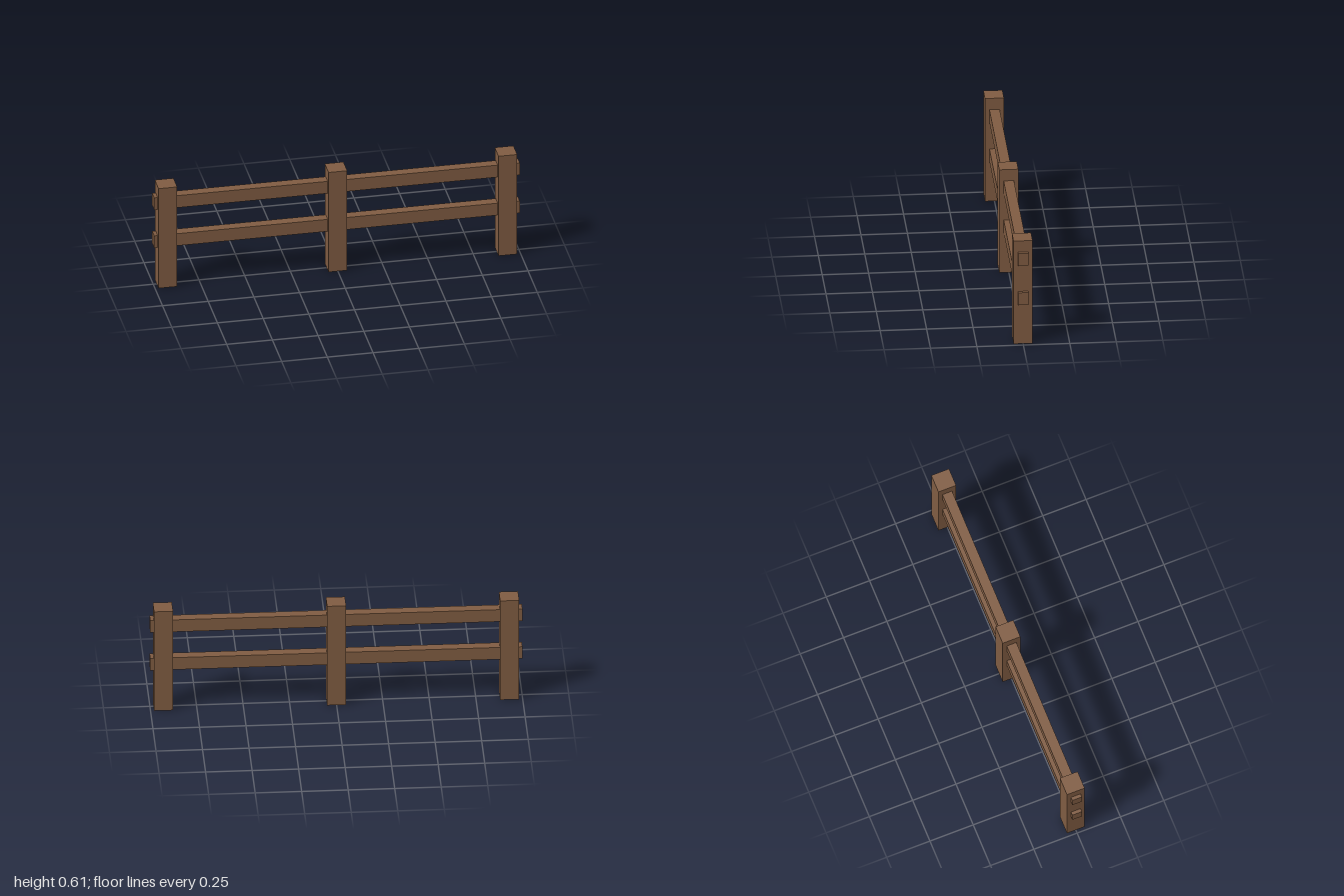
import * as THREE from 'three';

export function createModel() {
  const fence = new THREE.Group();
  fence.name = 'fence';
  const wood = new THREE.MeshStandardMaterial({ color: 0x805c42 });
  wood.name = 'brown wood';

  function beam(name, width, height, depth, x, y) {
    const mesh = new THREE.Mesh(new THREE.BoxGeometry(width, height, depth), wood);
    mesh.name = name;
    mesh.position.set(x, y, 0);
    fence.add(mesh);
  }

  // Three upright square posts
  const postHeight = 0.605;
  const posts = { rightPost: -0.93, middlePost: 0, leftPost: 0.93 };
  for (const [name, x] of Object.entries(posts)) {
    beam(name, 0.102, postHeight, 0.102, x, postHeight / 2);
  }

  // Two rails running through the posts, with short ends showing
  const rails = { lowerRail: 0.2715, upperRail: 0.5025 };
  for (const [name, y] of Object.entries(rails)) {
    beam(name, 2, 0.073, 0.055, 0, y);
  }

  return fence;
}
